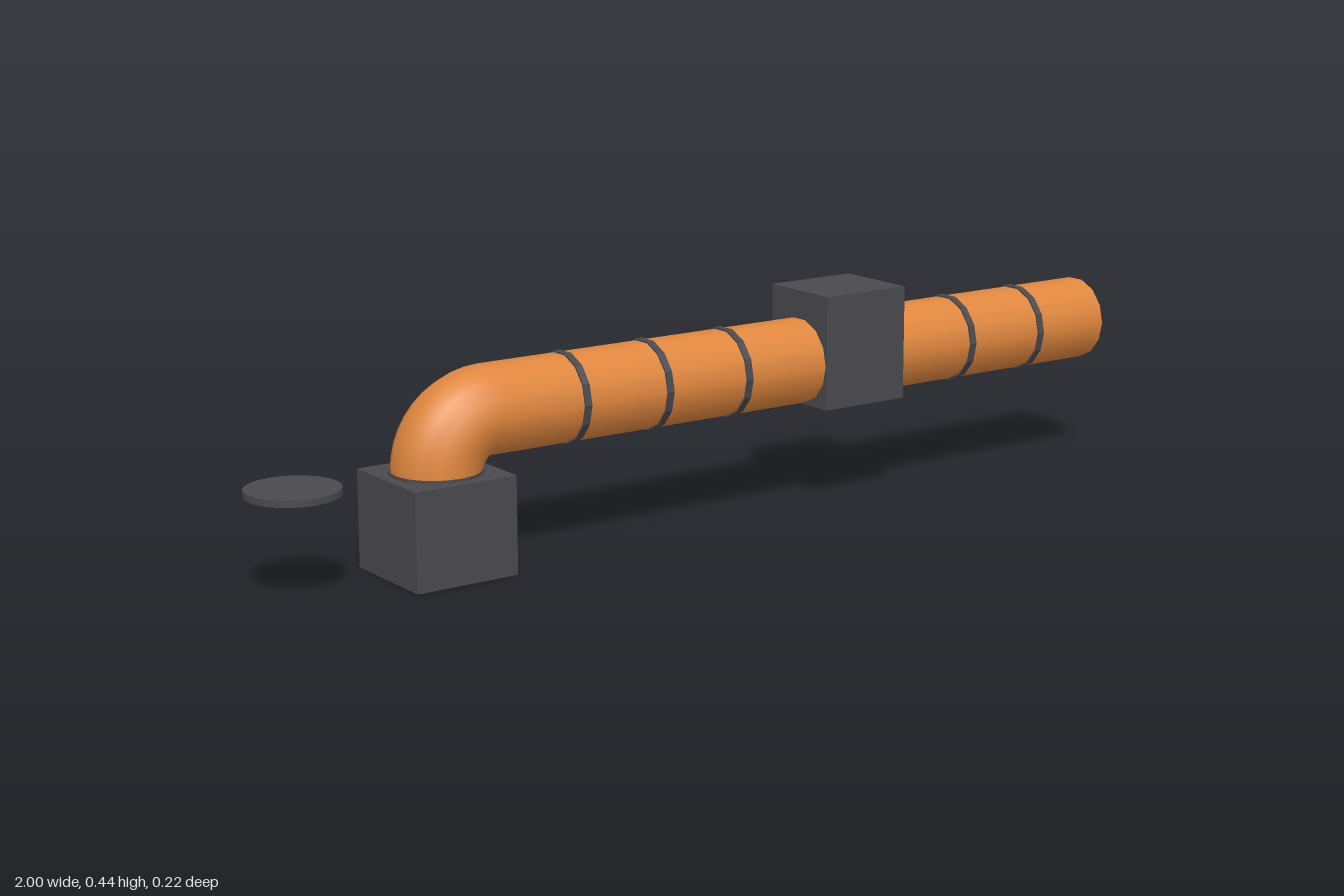
import * as THREE from 'three';
import { ParametricGeometry } from 'three/addons/geometries/ParametricGeometry.js';

const SIDES = 14;      // sides of the pipe
const R = 0.087;       // pipe radius
const AXIS = 0.297;    // height of the horizontal pipe
const BEND = 0.105;    // bend radius of the elbow
const BASE_X = -0.612; // centre of the base block
const BASE_TOP = 0.192;

// Outline with a round hole, extruded along +z from 0
function holed(outline, holeRadius, depth, holeSides, cx = 0, cy = 0) {
  const hole = new THREE.Path().absarc(cx, cy, holeRadius, 0, Math.PI * 2, true);
  outline.holes.push(hole);
  // arcs are divided into twice curveSegments
  return new THREE.ExtrudeGeometry(outline, { depth, bevelEnabled: false, curveSegments: holeSides / 2 });
}

function rectangle(x0, y0, x1, y1) {
  return new THREE.Shape().moveTo(x0, y0).lineTo(x1, y0).lineTo(x1, y1).lineTo(x0, y1).closePath();
}

function ringGeometry(width) {
  const circle = new THREE.Shape().absarc(0, 0, 0.0905, 0, Math.PI * 2, false);
  return holed(circle, R - 0.0005, width, SIDES).translate(0, 0, -width / 2);
}

export function createModel() {
  const group = new THREE.Group();
  const orange = new THREE.MeshStandardMaterial({ color: 0xe0873e, side: THREE.DoubleSide });
  orange.name = 'orange';
  const grey = new THREE.MeshStandardMaterial({ color: 0x4a494e });
  grey.name = 'darkGrey';

  function add(name, geometry, material, x, y, z) {
    const mesh = new THREE.Mesh(geometry, material);
    mesh.name = name;
    mesh.position.set(x, y, z);
    group.add(mesh);
    return mesh;
  }

  // Straight open pipe
  const start = BASE_X + BEND;
  const length = 1 - start;
  const straight = new THREE.CylinderGeometry(R, R, length, SIDES, 1, true).rotateZ(Math.PI / 2);
  add('straightPipe', straight, orange, start + length / 2, AXIS, 0);

  // Quarter-turn elbow
  const elbow = new ParametricGeometry((u, v, target) => {
    const a = Math.PI - u * Math.PI / 2;
    const t = v * Math.PI * 2;
    const d = BEND + R * Math.sin(t);
    target.set(d * Math.cos(a), d * Math.sin(a), R * Math.cos(t));
  }, 10, SIDES);
  add('elbow', elbow, orange, start, AXIS - BEND, 0);

  // Clamping rings along the pipe
  const ring = ringGeometry(0.015).rotateY(Math.PI / 2);
  for (const x of [-0.33, -0.14, 0.05, 0.63, 0.82]) add('pipeRing', ring, grey, x, AXIS, 0);

  // Collar where the elbow enters the base
  add('baseCollar', ringGeometry(0.006).rotateX(-Math.PI / 2), grey, BASE_X, BASE_TOP + 0.002, 0);

  // Base block with a vertical bore
  const base = holed(rectangle(-0.108, -0.108, 0.108, 0.108), 0.081, BASE_TOP, 24).rotateX(-Math.PI / 2);
  add('baseBlock', base, grey, BASE_X, 0, 0);

  // Block that the pipe passes through
  const block = holed(rectangle(-0.09, 0.208, 0.09, 0.44), R, 0.2, SIDES, 0, AXIS).rotateY(Math.PI / 2);
  add('middleBlock', block, grey, 0.24, 0, 0);

  // Loose round cap
  add('cap', new THREE.CylinderGeometry(0.09, 0.09, 0.013, 24), grey, -0.91, 0.201, 0);

  return group;
}
